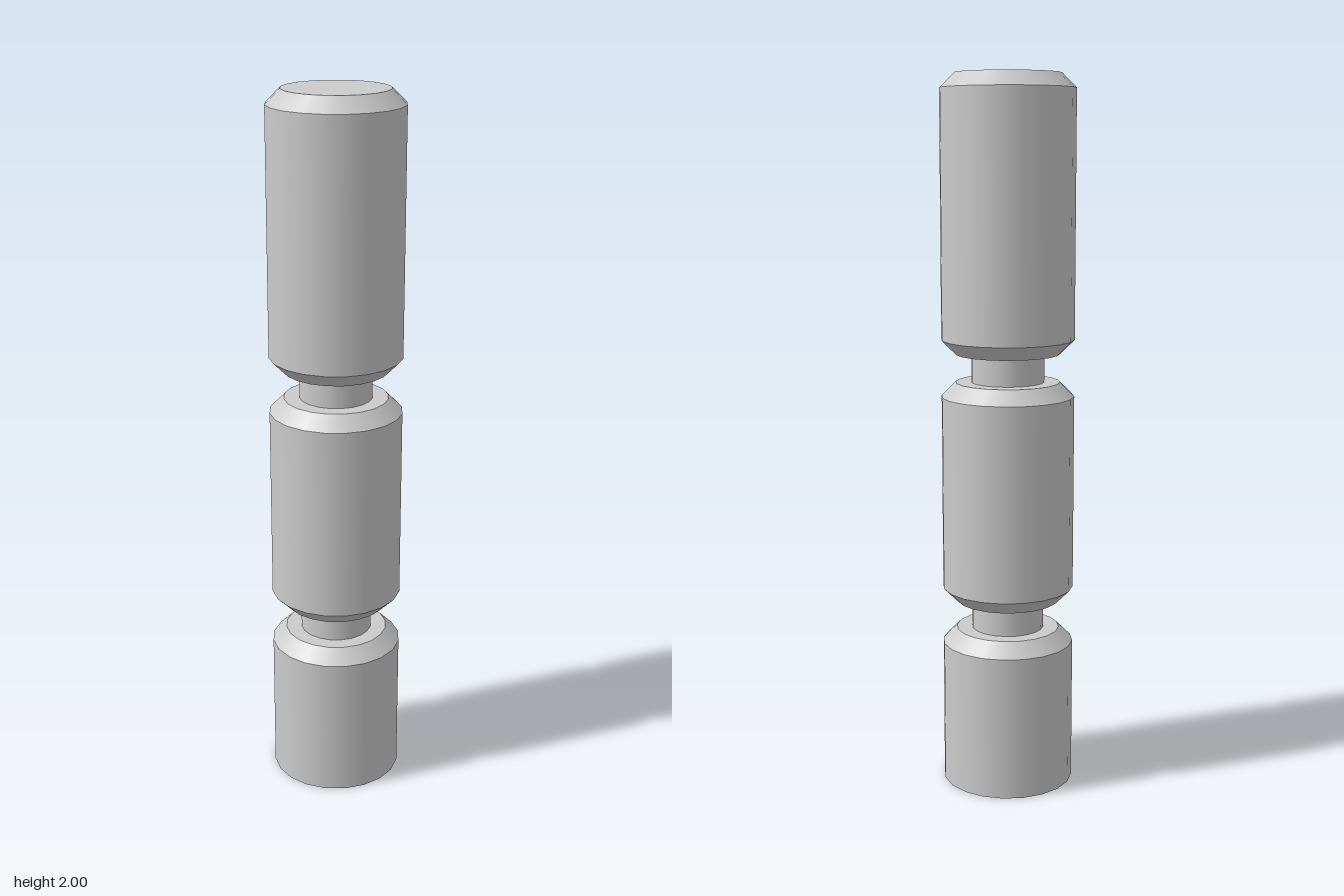
import * as THREE from 'three';

const SIDES = 20;
const BODY_R = 0.186, RIM_R = 0.146, NECK_R = 0.102, BEVEL = 0.04;
const material = new THREE.MeshStandardMaterial({ color: 0xcccccc });

// One smooth band, with sharp edges where it meets its neighbours
function band(name, rBottom, rTop, y0, y1) {
  const geometry = new THREE.CylinderGeometry(rTop, rBottom, y1 - y0, SIDES, 1, true);
  const mesh = new THREE.Mesh(geometry, material);
  mesh.name = name;
  mesh.position.y = (y0 + y1) / 2;
  return mesh;
}

// Flat end disc facing up or down
function cap(name, radius, y, up) {
  const geometry = new THREE.CircleGeometry(radius, SIDES);
  geometry.rotateX(up ? -Math.PI / 2 : Math.PI / 2);
  const mesh = new THREE.Mesh(geometry, material);
  mesh.name = name;
  mesh.position.y = y;
  return mesh;
}

// Thick drum, bevelled on top and optionally underneath
function drum(name, y0, y1, bevelBottom) {
  const group = new THREE.Group();
  group.name = name;
  const low = bevelBottom ? y0 + BEVEL : y0;
  if (bevelBottom) group.add(band('lowerBevel', RIM_R, BODY_R, y0, low));
  group.add(
    band('wall', BODY_R, BODY_R, low, y1 - BEVEL),
    band('upperBevel', BODY_R, RIM_R, y1 - BEVEL, y1),
    cap('topFace', RIM_R, y1, true),
    cap('bottomFace', bevelBottom ? RIM_R : BODY_R, y0, false)
  );
  return group;
}

export function createModel() {
  const model = new THREE.Group();
  model.name = 'segmentedPost';
  model.add(
    drum('baseDrum', 0, 0.45, false),
    band('lowerNeck', NECK_R, NECK_R, 0.45, 0.532),
    drum('middleDrum', 0.532, 1.161, true),
    band('upperNeck', NECK_R, NECK_R, 1.161, 1.24),
    drum('topDrum', 1.24, 2, true)
  );
  return model;
}
